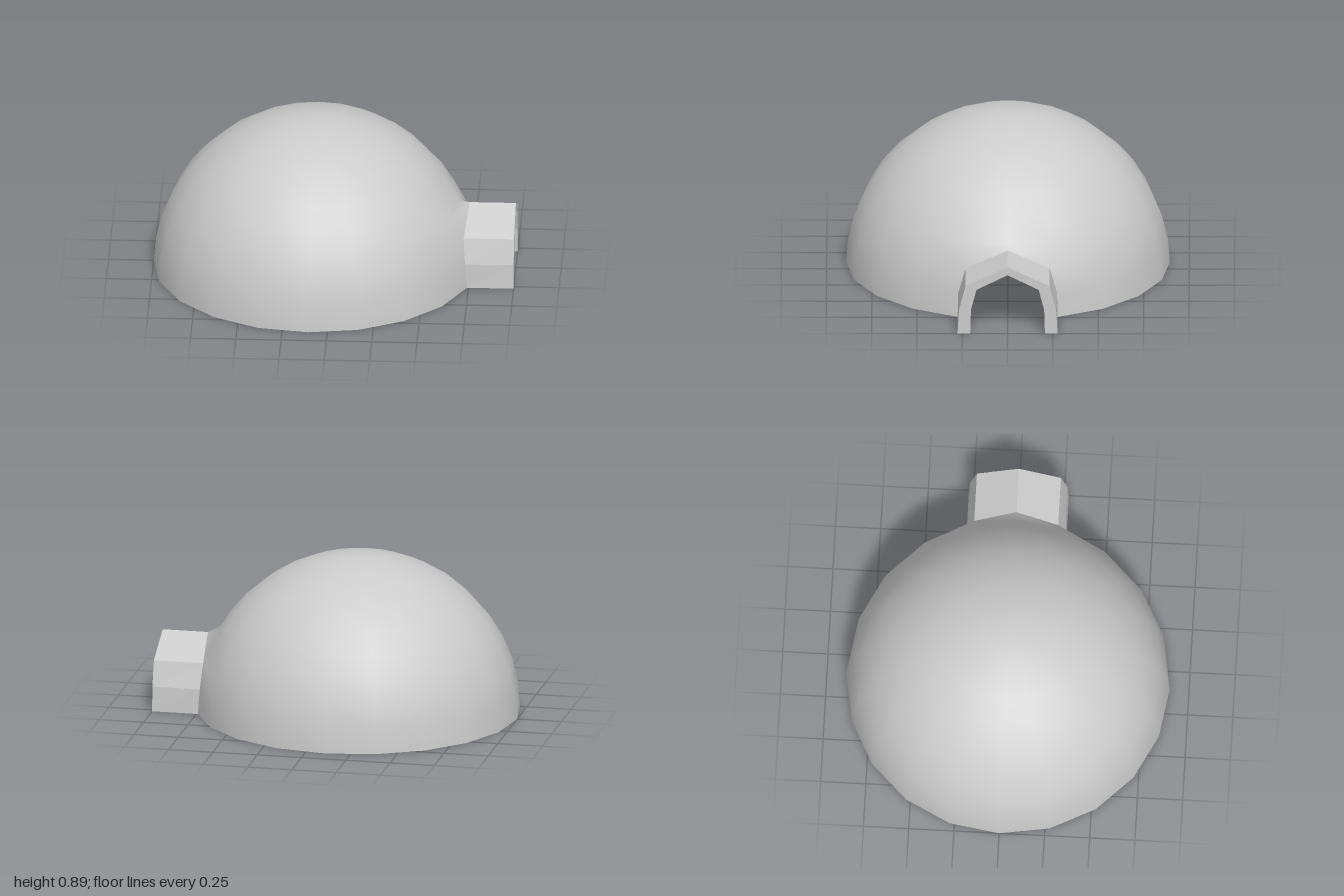
import * as THREE from 'three';

const CX = -0.107, R = 0.893, SEGMENTS = 20, RINGS = 10;
const V = (x, y, z) => new THREE.Vector3(x, y, z);
const material = new THREE.MeshStandardMaterial({ color: 0xcccccc });

// Ring of points around the dome axis, starting at the doorway (+x)
function ring(r, y) {
  return Array.from({ length: SEGMENTS }, (_, k) => {
    const a = (k / SEGMENTS) * Math.PI * 2;
    return V(CX + r * Math.cos(a), y, r * Math.sin(a));
  });
}

// Skin over rows of points; a row with one point is a pole
function skin(name, rows, { closed = false, smooth = false, skip = () => false } = {}) {
  const positions = [], index = [], starts = [];
  for (const row of rows) {
    starts.push(positions.length / 3);
    row.forEach((p) => positions.push(p.x, p.y, p.z));
  }
  const columns = Math.max(...rows.map((row) => row.length));
  const at = (j, k) => starts[j] + (k % rows[j].length);
  for (let j = 0; j < rows.length - 1; j++) {
    for (let k = 0; k < (closed ? columns : columns - 1); k++) {
      if (skip(j, k)) continue;
      const a = at(j, k), b = at(j, k + 1), c = at(j + 1, k + 1), d = at(j + 1, k);
      if (c !== d) index.push(a, d, c);
      if (a !== b) index.push(a, c, b);
    }
  }
  let geometry = new THREE.BufferGeometry();
  geometry.setAttribute('position', new THREE.Float32BufferAttribute(positions, 3));
  geometry.setIndex(index);
  if (!smooth) geometry = geometry.toNonIndexed();
  geometry.computeVertexNormals();
  const mesh = new THREE.Mesh(geometry, material);
  mesh.name = name;
  return mesh;
}

// Full arch from its +z half: foot, side, shoulder, peak
const arch = (half) => [...half, ...half.slice(0, -1).reverse().map((p) => V(p.x, p.y, -p.z))];

export function createModel() {
  const group = new THREE.Group();
  group.name = 'igloo';
  const besideDoor = (k) => k === 0 || k === SEGMENTS - 1;

  // Outer dome, with the points around the doorway pulled to the tunnel arch
  const domeRows = [];
  for (let j = 0; j < RINGS; j++) {
    const e = (j / RINGS) * Math.PI / 2;
    domeRows.push(ring(R * Math.cos(e), R * Math.sin(e)));
  }
  domeRows.push([V(CX, R, 0)]);
  domeRows[2][0].set(0.745, 0.393, 0);
  domeRows[2][1].set(0.722, 0.28, 0.232);
  domeRows[2][SEGMENTS - 1].set(0.722, 0.28, -0.232);
  group.add(skin('domeShell', domeRows, {
    closed: true, smooth: true, skip: (j, k) => j < 2 && besideDoor(k),
  }));

  // Hollow inside: cone ceiling, leaning wall and sloped base rim
  const wallTop = ring(0.632, 0.352), wallFoot = ring(0.712, 0.033);
  group.add(skin('cavity', [[V(CX, 0.72, 0)], wallTop, wallFoot, ring(R, 0)], {
    closed: true, skip: (j, k) => j > 0 && besideDoor(k),
  }));

  // Entrance tunnel: outside, end face, then inside back to the cavity
  const outerJoin = arch([domeRows[0][1], domeRows[1][1], domeRows[2][1], domeRows[2][0]]);
  const outerEnd = arch([V(1, 0, 0.276), V(1, 0.14, 0.268), V(1, 0.28, 0.232), V(1, 0.393, 0)]);
  const innerEnd = arch([V(1, 0, 0.206), V(1, 0.14, 0.202), V(1, 0.258, 0.172), V(1, 0.345, 0)]);
  const innerJoin = arch([
    wallFoot[1], wallFoot[1].clone().lerp(wallTop[1], 0.5), wallTop[1], wallTop[0],
  ]);
  group.add(skin('entranceTunnel', [outerJoin, outerEnd, innerEnd, innerJoin]));

  // Undersides of the two tunnel walls
  const n = outerJoin.length - 1;
  group.add(skin('leftTunnelFoot', [[innerJoin[0], outerJoin[0]], [innerEnd[0], outerEnd[0]]]));
  group.add(skin('rightTunnelFoot', [[outerJoin[n], innerJoin[n]], [outerEnd[n], innerEnd[n]]]));
  return group;
}
